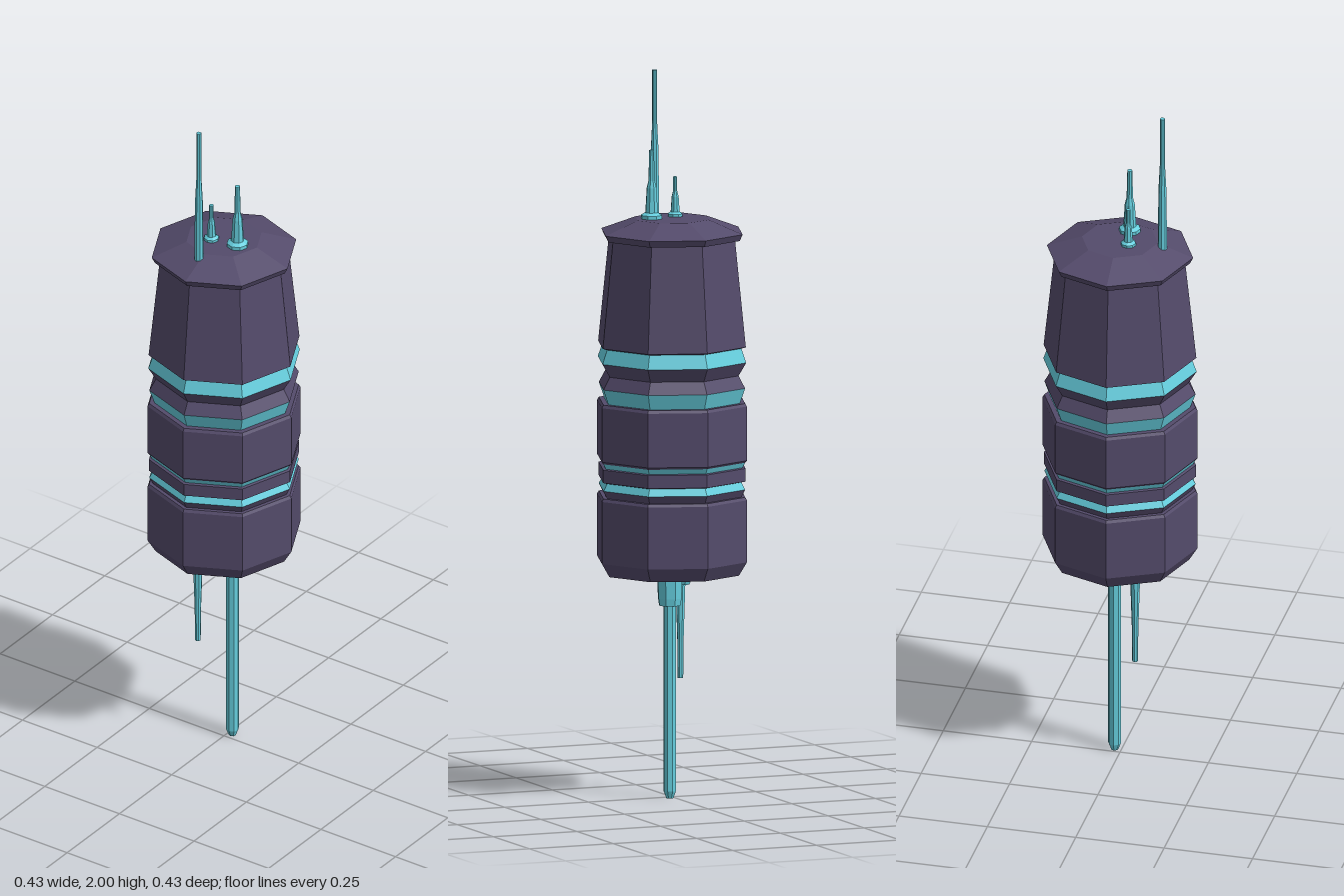
import * as THREE from 'three';

const SIDES = 8;
const TURN = 0.065; // slight twist of the octagon about y

export function createModel() {
  const model = new THREE.Group();
  model.name = 'spaceStation';
  const hullMat = new THREE.MeshStandardMaterial({ color: 0x544b6b, flatShading: true });
  const glowMat = new THREE.MeshStandardMaterial({ color: 0x66cfdf, flatShading: true });

  // Faceted turned part; profile is [radius, y] from bottom to top
  function turned(name, mat, profile, x = 0, z = 0) {
    const pts = profile.map(([r, y]) => new THREE.Vector2(r, y));
    const mesh = new THREE.Mesh(new THREE.LatheGeometry(pts, SIDES), mat);
    mesh.name = name;
    mesh.position.set(x, 0, z);
    mesh.rotation.y = TURN;
    model.add(mesh);
    return mesh;
  }

  // Hull sections, bottom to top
  turned('lowerHull', hullMat, [
    [0, 0.622], [0.193, 0.622], [0.216, 0.66], [0.216, 0.832], [0.211, 0.84], [0.2, 0.84],
    [0.211, 0.861],
  ]);
  turned('lowerLightBand', glowMat, [[0.211, 0.861], [0.2, 0.881]]);
  turned('waistRing', hullMat, [[0.2, 0.881], [0.212, 0.884], [0.212, 0.92], [0.204, 0.922]]);
  turned('waistLightBand', glowMat, [[0.204, 0.922], [0.211, 0.936]]);
  turned('middleHull', hullMat, [
    [0.211, 0.936], [0.216, 0.942], [0.216, 1.092], [0.211, 1.1], [0.196, 1.1],
  ]);
  turned('middleLightBand', glowMat, [[0.196, 1.1], [0.211, 1.142]]);
  turned('neckGroove', hullMat, [[0.211, 1.142], [0.192, 1.176], [0.214, 1.213]]);
  turned('upperLightBand', glowMat, [[0.214, 1.213], [0.2, 1.252]]);
  turned('upperHull', hullMat, [[0.2, 1.252], [0.213, 1.256], [0.182, 1.55]]);
  turned('roof', hullMat, [
    [0.182, 1.55], [0.195, 1.55], [0.204, 1.568], [0.106, 1.605], [0, 1.605],
  ]);

  // Roof antennas
  turned('tallAntenna', glowMat, [
    [0.013, 1.56], [0.013, 1.6], [0.011, 1.78], [0.007, 1.86], [0.007, 2], [0, 2],
  ], -0.12, 0);
  turned('frontAntenna', glowMat, [
    [0.03, 1.595], [0.03, 1.615], [0.018, 1.622], [0.014, 1.69], [0.009, 1.71],
    [0.007, 1.795], [0, 1.795],
  ], -0.014, 0.055);
  turned('rearAntenna', glowMat, [
    [0.021, 1.595], [0.021, 1.612], [0.013, 1.618], [0.01, 1.66], [0.006, 1.675],
    [0.006, 1.715], [0, 1.715],
  ], -0.029, -0.022);

  // Hanging masts with collars
  turned('mainMast', glowMat, [
    [0, 0], [0.01, 0], [0.018, 0.02], [0.018, 0.535], [0.031, 0.535], [0.034, 0.555],
    [0.037, 0.63],
  ], 0.019, 0.015);
  turned('sideMast', glowMat, [
    [0, 0.32], [0.008, 0.32], [0.009, 0.42], [0.014, 0.58], [0.026, 0.58], [0.032, 0.595],
    [0.032, 0.63],
  ], -0.055, -0.049);

  return model;
}
